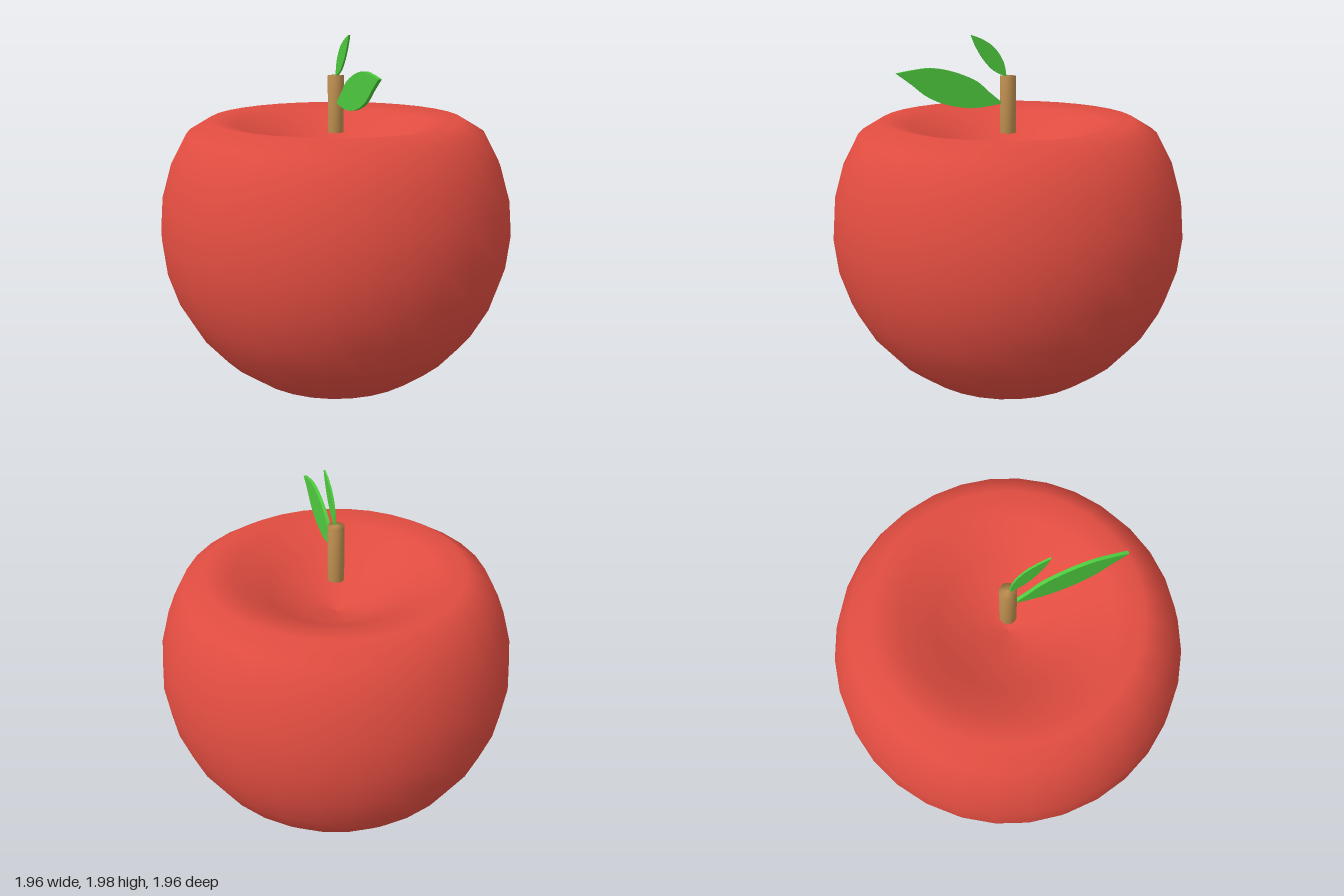
import * as THREE from 'three';
import { mergeVertices } from 'three/addons/utils/BufferGeometryUtils.js';

const R = 0.98, CENTER_Y = 0.94, ROWS = 16;

// Smooth falloff around a pole: 1 at the pole, 0 beyond the reach
function falloff(distance, reach) {
  const t = Math.max(0, 1 - distance / reach);
  return t * t * (3 - 2 * t);
}

// Sphere profile with a deep dimple on top and a slight one underneath
function fruitProfile() {
  const points = [];
  for (let i = 0; i <= ROWS; i++) {
    const a = (i / ROWS) * Math.PI;
    const r = i % ROWS === 0 ? 0 : R * Math.sin(a);
    const y = -R * Math.cos(a);
    const dip = 0.65 * falloff(Math.hypot(r, R - y), 0.96);
    const lift = 0.08 * falloff(Math.hypot(r, R + y), 0.4);
    points.push(new THREE.Vector2(r, CENTER_Y + y - dip + lift));
  }
  return points;
}

// Thin leaf standing in the YZ plane; points are [z, y]
function leafGeometry(base, lower, tip, upper, thickness) {
  const v = (p) => new THREE.Vector2(p[0], p[1]);
  const shape = new THREE.Shape();
  shape.moveTo(...base);
  shape.splineThru([...lower, tip].map(v));
  shape.splineThru([...upper, base].map(v));
  const geometry = new THREE.ExtrudeGeometry(shape, {
    depth: thickness, bevelEnabled: false, curveSegments: 4,
  });
  geometry.translate(0, 0, -thickness / 2);
  geometry.rotateY(-Math.PI / 2);
  return geometry;
}

export function createModel() {
  const group = new THREE.Group();
  const red = new THREE.MeshStandardMaterial({ color: 0xe04c40 });
  const brown = new THREE.MeshStandardMaterial({ color: 0xc09050 });
  const green = new THREE.MeshStandardMaterial({ color: 0x4ecb3e });

  const add = (name, geometry, material) => {
    const mesh = new THREE.Mesh(geometry, material);
    mesh.name = name;
    group.add(mesh);
  };

  // Fruit
  add('fruit', new THREE.LatheGeometry(fruitProfile(), 32), red);

  // Stem, with normals shared across its rims for a rounded look
  let stem = new THREE.CylinderGeometry(0.044, 0.044, 0.31, 32);
  stem.deleteAttribute('uv');
  stem.deleteAttribute('normal');
  stem = mergeVertices(stem);
  stem.computeVertexNormals();
  stem.translate(0, 1.625, 0);
  add('stem', stem, brown);

  // Leaves
  add('largeLeaf', leafGeometry(
    [0.03, 1.635],
    [[0.12, 1.62], [0.22, 1.615], [0.35, 1.64], [0.45, 1.685], [0.53, 1.75]],
    [0.61, 1.81],
    [[0.52, 1.825], [0.42, 1.833], [0.3, 1.81], [0.18, 1.76], [0.11, 1.7]],
    0.018), green);
  add('smallLeaf', leafGeometry(
    [0.008, 1.775],
    [[0.08, 1.81], [0.137, 1.87], [0.18, 1.94]],
    [0.205, 2.0],
    [[0.14, 1.975], [0.074, 1.93], [0.025, 1.855]],
    0.01), green);

  return group;
}
